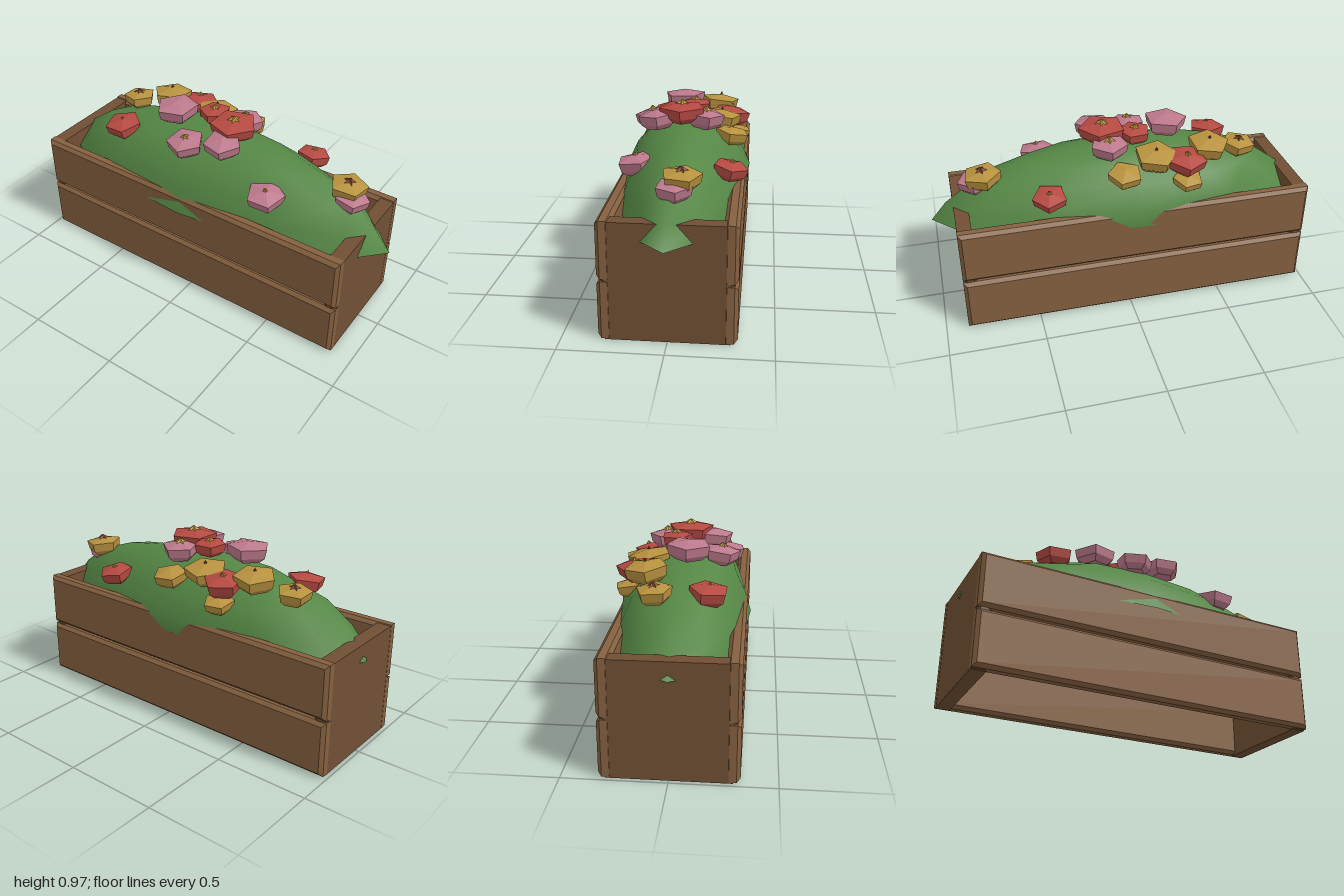
import * as THREE from 'three';

const material = (color, flat = true, side = THREE.FrontSide) => {
  const m = new THREE.MeshStandardMaterial({ color, side });
  m.flatShading = flat;
  return m;
};
const wood = material(0x85603f), darkWood = material(0x704f34), soilMat = material(0x45332a);
const leaf = material(0x558745, false, THREE.DoubleSide);
const petals = {
  yellow: material(0xb8923f), red: material(0xb54a42), pink: material(0xbd7a8c),
};
const starGold = material(0xc9a43c), starRust = material(0x8a4a2c);

function addMesh(parent, name, geometry, mat) {
  const mesh = new THREE.Mesh(geometry, mat);
  mesh.name = name;
  parent.add(mesh);
  return mesh;
}

// Box with chamfered edges, given by its minimum and maximum corners
function chamferedBox(x0, y0, z0, x1, y1, z1, b) {
  const s = new THREE.Shape();
  s.moveTo(x0 + b, y0 + b);
  s.lineTo(x1 - b, y0 + b);
  s.lineTo(x1 - b, y1 - b);
  s.lineTo(x0 + b, y1 - b);
  s.closePath();
  const g = new THREE.ExtrudeGeometry(s, {
    depth: z1 - z0 - 2 * b, bevelEnabled: true, bevelSize: b, bevelThickness: b, bevelSegments: 1,
  });
  return g.translate(0, 0, z0 + b);
}

// Twelve-sided mound: one outline scaled up through a dome profile
function moundGeometry() {
  const half = [[1, 0], [0.87, 0.135], [0.5, 0.28], [-0.05, 0.345], [-0.6, 0.3], [-0.9, 0.165], [-1, 0]];
  const outline = [...half, ...half.slice(1, -1).reverse().map(([x, z]) => [x, -z])];
  const profile = [[1, 0.5], [0.92, 0.595], [0.77, 0.705], [0.54, 0.785], [0.29, 0.825]];
  const pos = [], index = [], n = outline.length, back = 9;
  for (const [scale, y] of profile) {
    for (const [x, z] of outline) pos.push(x * scale, y, z * scale);
  }
  pos.push(0, 0.84, 0);
  // The middle of the back spills over the rim and hangs down
  pos[back * 3 + 2] = -0.332;
  pos[(n + back) * 3 + 2] = -0.346;
  const apex = n * profile.length;
  for (let i = 0; i < profile.length; i++) {
    for (let j = 0; j < n; j++) {
      const a = i * n + j, b = i * n + (j + 1) % n;
      if (i === profile.length - 1) index.push(a, apex, b);
      else index.push(a, a + n, b, b, a + n, b + n);
    }
  }
  const g = new THREE.BufferGeometry();
  g.setAttribute('position', new THREE.Float32BufferAttribute(pos, 3));
  g.setIndex(index);
  g.computeVertexNormals();
  return g;
}

// Five-sided blossom of unit radius
const blossomGeometry = new THREE.LatheGeometry(
  [[0, -0.56], [0.62, -0.5], [0.92, -0.22], [1, 0.24], [0, 0.46]].map(([x, y]) => new THREE.Vector2(x, y)), 5);

// Pointed star for the blossom centre: a cone with every other corner pulled in
function starGeometry() {
  const g = new THREE.ConeGeometry(0.36, 0.26, 10, 1, true);
  const p = g.attributes.position;
  for (let i = 0; i < p.count; i++) {
    const turn = Math.round(Math.atan2(p.getX(i), p.getZ(i)) / (Math.PI / 5));
    if (turn % 2) p.setXYZ(i, p.getX(i) * 0.5, p.getY(i), p.getZ(i) * 0.5);
  }
  return g.translate(0, 0.5, 0);
}

export function createModel() {
  const root = new THREE.Group();
  root.name = 'flowerPlanter';

  // Wooden crate: two slats front and back, one panel at each end, open underneath
  const crate = new THREE.Group();
  crate.name = 'crate';
  root.add(crate);
  for (const [level, y0, y1] of [['lower', 0.005, 0.294], ['upper', 0.306, 0.592]]) {
    addMesh(crate, level + 'FrontSlat', chamferedBox(-0.98, y0, 0.255, 0.885, y1, 0.327, 0.018), wood);
    addMesh(crate, level + 'BackSlat', chamferedBox(-0.98, y0, -0.327, 0.885, y1, -0.255, 0.018), wood);
  }
  addMesh(crate, 'rightEndPanel', chamferedBox(-0.979, 0, -0.31, -0.905, 0.588, 0.31, 0.018), darkWood);
  addMesh(crate, 'leftEndPanel', chamferedBox(0.81, 0, -0.31, 0.884, 0.588, 0.31, 0.018), darkWood);

  // Soil and foliage
  const soil = addMesh(root, 'soil', new THREE.BoxGeometry(1.73, 0.04, 0.52), soilMat);
  soil.position.set(-0.05, 0.44, 0);
  addMesh(root, 'foliage', moundGeometry(), leaf);

  // Blossoms: colour, x, y, z, radius, turn, size of the centre star
  const blossoms = [
    ['yellow', -0.64, 0.785, -0.10, 0.09, 0.3, 1], ['yellow', -0.45, 0.835, -0.16, 0.11, 1.0, 0.3],
    ['red', -0.31, 0.80, -0.23, 0.105, 0.5, 0.6], ['yellow', -0.16, 0.815, -0.18, 0.115, 0.9, 0.3],
    ['yellow', 0.02, 0.77, -0.25, 0.09, 0.2, 0], ['pink', 0.07, 0.87, -0.11, 0.10, 0.6, 1],
    ['red', -0.08, 0.90, -0.05, 0.085, 0.1, 1], ['red', 0.08, 0.905, 0.01, 0.125, 0.3, 0.9],
    ['pink', -0.27, 0.90, 0.03, 0.115, 0.9, 0], ['pink', 0.10, 0.87, 0.14, 0.10, 0.4, 0],
    ['pink', -0.10, 0.83, 0.185, 0.10, 0.2, 0.8], ['pink', 0.40, 0.715, 0.205, 0.10, 0.7, 0.5],
    ['pink', 0.76, 0.71, -0.02, 0.09, 0.5, 0], ['yellow', 0.72, 0.75, -0.05, 0.10, 0.8, 1],
    ['red', 0.41, 0.70, -0.26, 0.09, 0.4, 0.6], ['red', -0.55, 0.76, 0.15, 0.10, 0.6, 0.3],
    ['yellow', -0.31, 0.705, -0.265, 0.08, 0.2, 0],
  ];
  const star = starGeometry();
  blossoms.forEach(([color, x, y, z, r, turn, starSize], i) => {
    const flower = new THREE.Group();
    flower.name = 'blossom' + (i + 1);
    flower.position.set(x, y, z);
    // Lean outward from the top of the mound
    flower.rotation.set(z * 0.75, turn, -x * 0.12, 'XZY');
    flower.scale.set(r, Math.min(r, 0.105), r);
    addMesh(flower, 'petals', blossomGeometry, petals[color]);
    if (starSize) {
      const centre = addMesh(flower, 'centre', star, color === 'yellow' ? starRust : starGold);
      centre.scale.set(starSize, 1, starSize);
    }
    root.add(flower);
  });
  return root;
}
